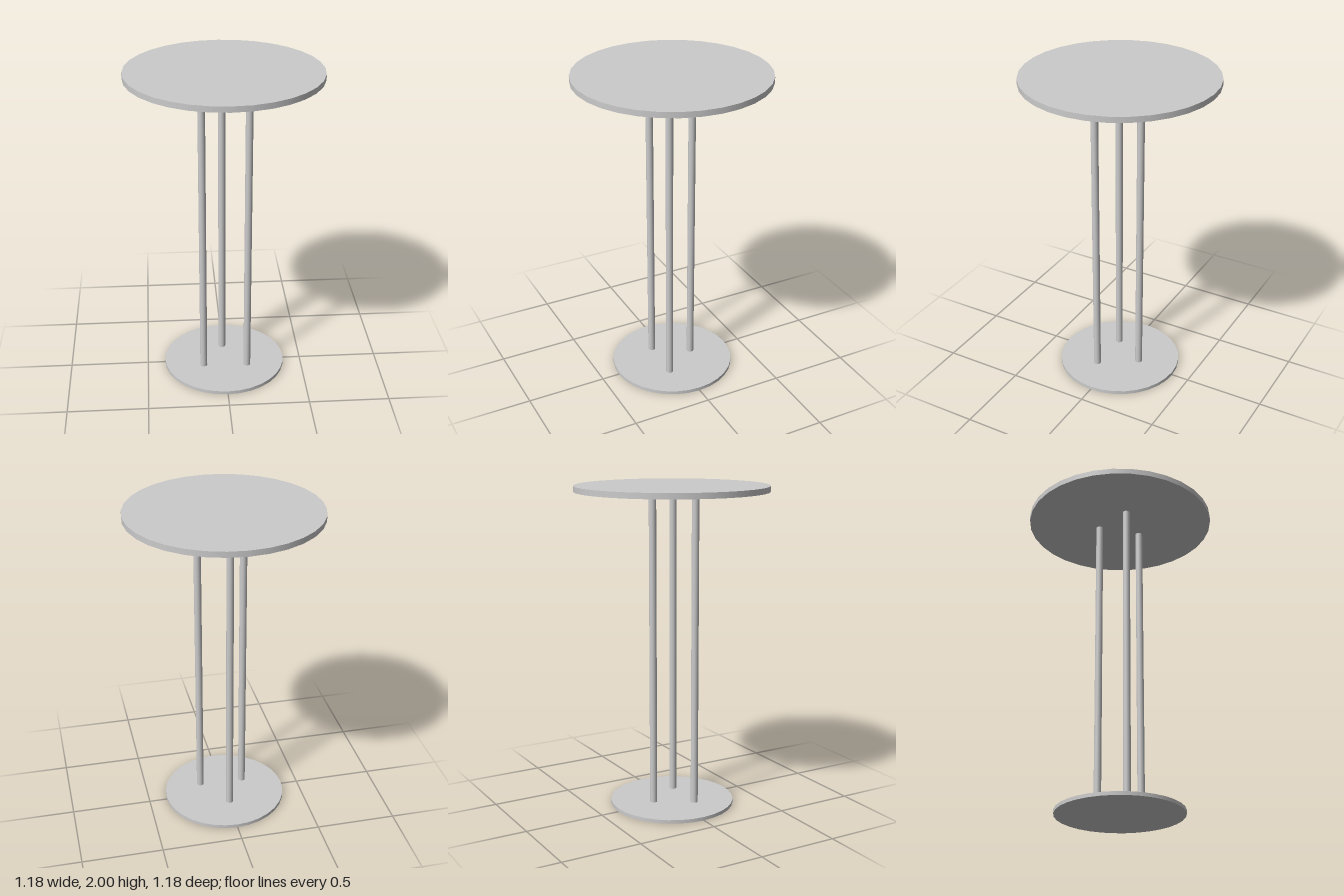
import * as THREE from 'three';

export function createModel() {
  const model = new THREE.Group();
  const material = new THREE.MeshStandardMaterial({ color: 0xcccccc });

  // Upright cylinder spanning y0..y1
  const cylinder = (name, radius, y0, y1, sides, x = 0, z = 0) => {
    const mesh = new THREE.Mesh(new THREE.CylinderGeometry(radius, radius, y1 - y0, sides), material);
    mesh.name = name;
    mesh.position.set(x, (y0 + y1) / 2, z);
    model.add(mesh);
  };

  const baseTop = 0.022;
  const topUnderside = 1.965;

  // Round base plate and table top
  cylinder('basePlate', 0.387, 0, baseTop, 32);
  cylinder('tableTop', 0.59, topUnderside, 2, 32);

  // Three slender posts joining the plates
  const posts = [
    ['leftPost', 0.143, 0.09],
    ['rightPost', -0.138, 0.082],
    ['backPost', -0.005, -0.137],
  ];
  for (const [name, x, z] of posts) cylinder(name, 0.0225, baseTop, topUnderside, 24, x, z);

  return model;
}
